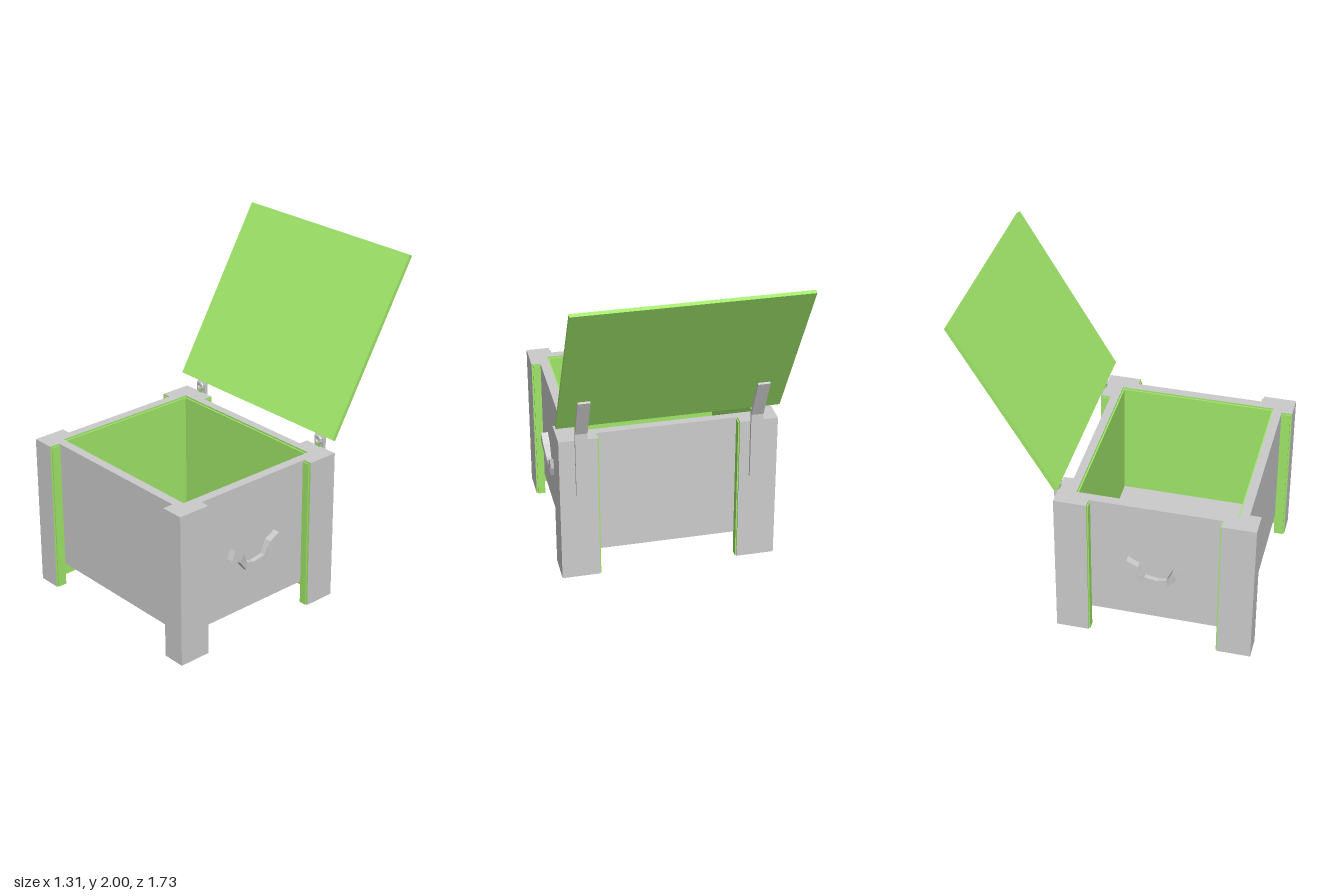
import * as THREE from 'three';

const grey = new THREE.MeshStandardMaterial({ color: 0xcccccc, flatShading: true });
const green = new THREE.MeshStandardMaterial({ color: 0xa0e669, flatShading: true });
const MID_Z = 0.28; // middle of the box in z

const polygon = pts => new THREE.Shape(pts.map(([a, b]) => new THREE.Vector2(a, b)));

// Plan outline in [x, z], raised from y0 to y1
function plan(pts, y0, y1, hole) {
  const flip = list => list.map(([x, z]) => [x, -z]);
  const shape = polygon(flip(pts));
  if (hole) shape.holes.push(polygon(flip(hole)));
  return new THREE.ExtrudeGeometry(shape, { depth: y1 - y0, bevelEnabled: false })
    .rotateX(-Math.PI / 2).translate(0, y0, 0);
}

// Side outline in [z, y], extruded along x from x0 to x1
function side(pts, x0, x1) {
  return new THREE.ExtrudeGeometry(polygon(pts.map(([z, y]) => [-z, y])),
    { depth: x1 - x0, bevelEnabled: false }).rotateY(Math.PI / 2).translate(x0, 0, 0);
}

// Axis-aligned block between two corners
function block(x0, x1, y0, y1, z0, z1) {
  return new THREE.BoxGeometry(Math.abs(x1 - x0), y1 - y0, Math.abs(z1 - z0))
    .translate((x0 + x1) / 2, (y0 + y1) / 2, (z0 + z1) / 2);
}

function mesh(name, geo, material = grey) {
  const m = new THREE.Mesh(geo, material);
  m.name = name;
  return m;
}

// Faces turned towards the box centre become green, outer ones stay grey
function twoTone(name, geo, greenBottom) {
  geo.clearGroups();
  const tri = new THREE.Triangle(), n = new THREE.Vector3(), c = new THREE.Vector3();
  const p = geo.attributes.position;
  for (let i = 0; i < p.count; i += 3) {
    tri.setFromAttributeAndIndices(p, i, i + 1, i + 2);
    tri.getNormal(n);
    tri.getMidpoint(c);
    const inward = Math.abs(n.y) > 0.7 ? greenBottom && n.y < 0
      : n.x * c.x + n.z * (c.z - MID_Z) < 0;
    geo.addGroup(i, 3, inward ? 1 : 0);
  }
  return mesh(name, geo, [grey, green]);
}

const rect = (x, z0, z1) => [[-x, z1], [x, z1], [x, z0], [-x, z0]];

// Handle stations from front to back: upper [z, y], lower [z, y], outer x
const HANDLE = [
  [0.455, 0.565, 0.48, 0.51, 0.632], [0.39, 0.525, 0.42, 0.48, 0.632],
  [0.355, 0.45, 0.36, 0.402, 0.62], [0.305, 0.437, 0.305, 0.39, 0.618],
  [0.225, 0.45, 0.205, 0.408, 0.62], [0.19, 0.53, 0.175, 0.475, 0.632],
  [0.122, 0.565, 0.122, 0.505, 0.632],
];

// Bar whose cross-sections follow the stations, on side s
function handleGeometry(s) {
  const last = HANDLE.length - 1;
  const geo = new THREE.BoxGeometry(1, 1, last, 1, 1, last);
  const p = geo.attributes.position;
  for (let i = 0; i < p.count; i++) {
    const [zu, yu, zl, yl, outer] = HANDLE[Math.round(last / 2 - p.getZ(i))];
    const up = p.getY(i) > 0;
    p.setXYZ(i, s * (p.getX(i) * s > 0 ? outer : 0.588), up ? yu : yl, up ? zu : zl);
  }
  geo.computeVertexNormals();
  return geo;
}

export function createModel() {
  const model = new THREE.Group();
  model.name = 'chest';

  // Box walls, inner lining just below the rim, and floor
  model.add(twoTone('boxWalls', plan(rect(0.59, -0.24, 0.80), 0.14, 0.93, rect(0.534, -0.19, 0.746)), true));
  model.add(mesh('boxLining',
    plan(rect(0.535, -0.191, 0.747), 0.141, 0.92, rect(0.524, -0.18, 0.737)), green));
  model.add(mesh('boxFloor', plan(rect(0.53, -0.186, 0.742), 0.15, 0.17)));

  for (const s of [-1, 1]) {
    const sideName = s > 0 ? 'Left' : 'Right';

    // Angle-section corner legs with a thin green lip on both edges
    const leg = (name, xEnd, zOut, zWall, zEnd) => {
      const f = Math.sign(zOut - zWall);
      const group = new THREE.Group();
      group.name = name + sideName;
      const pts = [[0.645, zOut], [xEnd, zOut], [xEnd, zWall], [0.59, zWall], [0.59, zEnd], [0.645, zEnd]];
      group.add(twoTone('legAngle', plan(pts.map(([x, z]) => [s * x, z]), 0, 0.93), false));
      group.add(mesh('legLip', block(s * xEnd, s * (xEnd - 0.008), 0, 0.92, zWall, zOut - f * 0.01), green));
      group.add(mesh('legLip', block(s * 0.59, s * 0.635, 0, 0.92, zEnd, zEnd - f * 0.008), green));
      model.add(group);
    };
    leg('frontLeg', 0.505, 0.865, 0.80, 0.667);
    leg('backLeg', 0.418, -0.298, -0.24, -0.105);

    model.add(mesh('handle' + sideName, handleGeometry(s)));

    // Bent hinge strap behind the leg and lid
    const hinge = new THREE.Group();
    hinge.name = 'hinge' + sideName;
    const x = s * 0.515;
    hinge.add(mesh('hingeStrap', side([[-0.298, 0.565], [-0.298, 0.985], [-0.415, 1.25],
      [-0.437, 1.24], [-0.318, 0.98], [-0.318, 0.565]], x - 0.036, x + 0.036)));
    const ring = mesh('hingeRing', new THREE.TorusGeometry(0.021, 0.008, 6, 12));
    ring.position.set(x, 0.97, -0.294);
    hinge.add(ring);
    hinge.add(mesh('hingeTab', block(x - 0.018, x + 0.018, 0.93, 0.96, -0.299, -0.291), green));
    model.add(hinge);
  }

  // Open lid leaning back
  model.add(mesh('lid', side([[-0.266, 1.025], [-0.845, 2.0], [-0.865, 1.99], [-0.286, 1.013]],
    -0.655, 0.655), green));

  return model;
}
